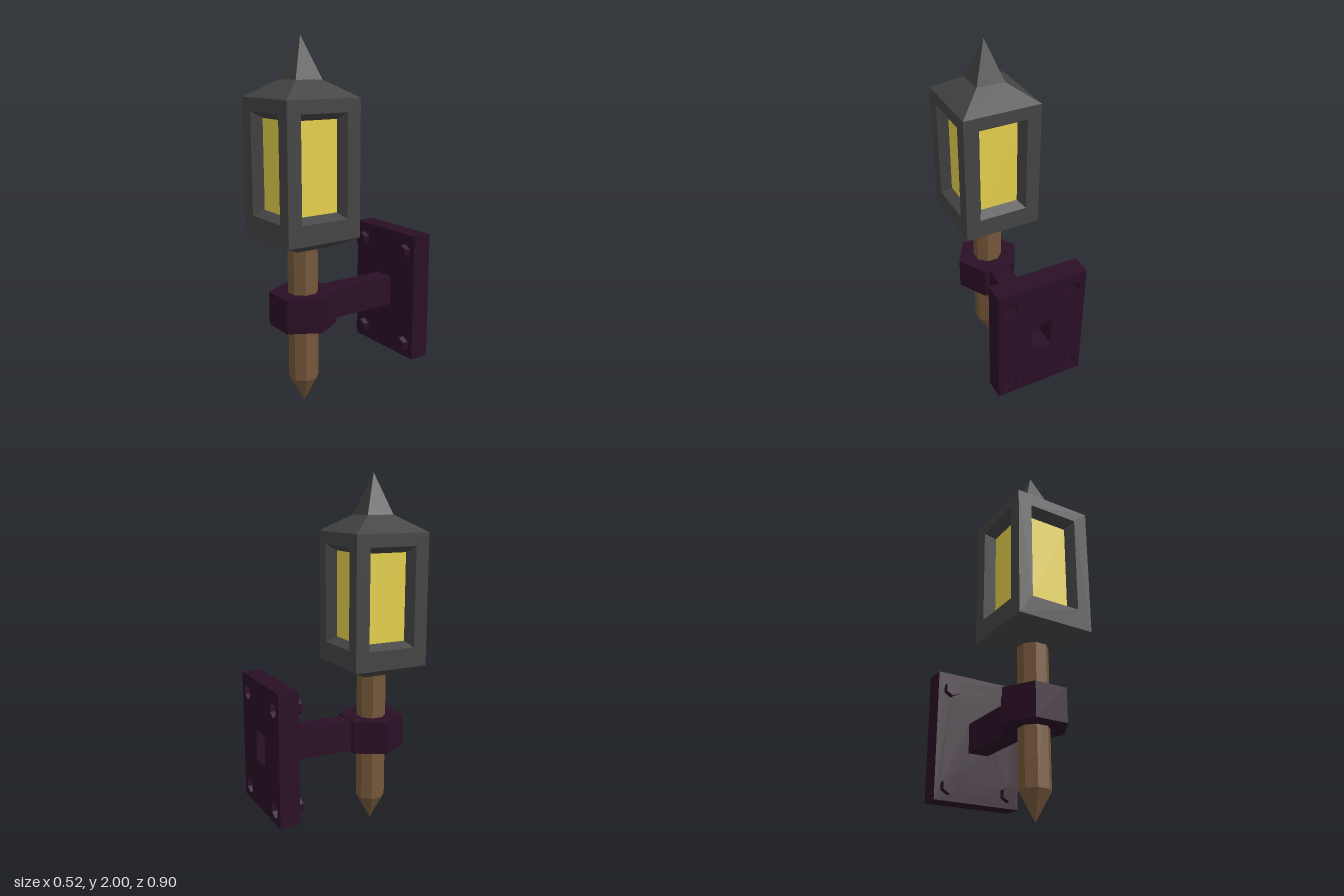
import * as THREE from 'three';

const material = (color) => new THREE.MeshStandardMaterial({ color, flatShading: true });
const iron = material(0x444444);
const glass = material(0xe5d04c);
const wood = material(0x75573a);
const bracket = material(0x2a0f25);

const POST_Z = 0.23;

function add(parent, name, geometry, mat, x = 0, y = 0, z = 0) {
  const mesh = new THREE.Mesh(geometry, mat);
  mesh.name = name;
  mesh.position.set(x, y, z);
  parent.add(mesh);
  return mesh;
}

// Square frustum between two heights, given half widths
function frustum(halfBottom, halfTop, y0, y1) {
  return new THREE.CylinderGeometry(halfTop * Math.SQRT2, halfBottom * Math.SQRT2, y1 - y0, 4)
    .rotateY(Math.PI / 4)
    .translate(0, (y0 + y1) / 2, 0);
}

// Upright rectangle as a counter-clockwise loop
const rect = (half, y0, y1, z) => [[-half, y0, z], [half, y0, z], [half, y1, z], [-half, y1, z]];

// Quads joining each loop to the next one inside it
function nestedLoops(loops) {
  const points = [];
  for (let i = 0; i + 1 < loops.length; i++) {
    const [outer, inner] = [loops[i], loops[i + 1]];
    outer.forEach((a, k) => {
      const n = (k + 1) % outer.length;
      points.push(...a, ...outer[n], ...inner[n], ...a, ...inner[n], ...inner[k]);
    });
  }
  const geometry = new THREE.BufferGeometry();
  geometry.setAttribute('position', new THREE.Float32BufferAttribute(points, 3));
  geometry.computeVertexNormals();
  return geometry;
}

// Hexagon with corners pointing up and down
function hexagon(radius, x, y, Type) {
  const points = [];
  for (let i = 0; i < 6; i++) {
    const a = Math.PI / 2 + (i * Math.PI) / 3;
    points.push(new THREE.Vector2(x + radius * Math.cos(a), y + radius * Math.sin(a)));
  }
  return new Type(points);
}

function createLantern() {
  const lantern = new THREE.Group();
  lantern.name = 'lantern';
  add(lantern, 'lanternBase', frustum(0.1, 0.22, 0.9, 0.96), iron);
  add(lantern, 'roof', frustum(0.22, 0.08, 1.69, 1.78), iron);
  add(lantern, 'spire', frustum(0.08, 0, 1.78, 2), iron);

  // Four walls, each with a sloped window recess
  const wall = nestedLoops([
    rect(0.22, 0.96, 1.69, 0.22),
    rect(0.14, 1.07, 1.62, 0.22),
    rect(0.11, 1.1, 1.585, 0.165),
  ]);
  const pane = new THREE.PlaneGeometry(0.22, 0.485).translate(0, 1.3425, 0.165);
  for (let i = 0; i < 4; i++) {
    const side = new THREE.Group();
    side.name = 'lanternSide';
    add(side, 'windowFrame', wall, iron);
    add(side, 'windowPane', pane, glass);
    side.rotation.y = (i * Math.PI) / 2;
    lantern.add(side);
  }
  return lantern;
}

function createPost() {
  const post = new THREE.Group();
  post.name = 'post';
  const radius = 0.077 / Math.cos(Math.PI / 8);
  const shaft = new THREE.CylinderGeometry(radius, radius, 0.75, 8).rotateY(Math.PI / 8);
  const tip = new THREE.CylinderGeometry(radius, 0, 0.15, 8).rotateY(Math.PI / 8);
  add(post, 'shaft', shaft, wood, 0, 0.525, 0);
  add(post, 'pointedTip', tip, wood, 0, 0.075, 0);
  return post;
}

function createBracket() {
  const group = new THREE.Group();
  group.name = 'wallBracket';

  // Hexagonal collar with corners at left and right
  const collar = new THREE.CylinderGeometry(0.185, 0.185, 0.185, 6).rotateY(Math.PI / 2);
  add(group, 'collar', collar, bracket, 0, 0.5525, POST_Z);
  add(group, 'arm', new THREE.BoxGeometry(0.12, 0.17, 0.42), bracket, 0, 0.555, -0.13);

  // Wall plate with a socket behind the arm and four bolt holes
  const plate = new THREE.Shape([
    new THREE.Vector2(-0.26, 0.19), new THREE.Vector2(0.26, 0.19),
    new THREE.Vector2(0.26, 0.92), new THREE.Vector2(-0.26, 0.92),
  ]);
  plate.holes.push(new THREE.Path([
    new THREE.Vector2(-0.06, 0.47), new THREE.Vector2(-0.06, 0.64),
    new THREE.Vector2(0.06, 0.64), new THREE.Vector2(0.06, 0.47),
  ]));
  for (const x of [-0.185, 0.185]) {
    for (const y of [0.265, 0.82]) {
      plate.holes.push(hexagon(0.044, x, y, THREE.Path));
      const bolt = new THREE.ExtrudeGeometry(hexagon(0.044, x, y, THREE.Shape), {
        depth: 0.11, bevelEnabled: false,
      });
      add(group, 'bolt', bolt, bracket, 0, 0, -0.415);
    }
  }
  const plateGeometry = new THREE.ExtrudeGeometry(plate, { depth: 0.113, bevelEnabled: false });
  add(group, 'wallPlate', plateGeometry, bracket, 0, 0, -0.453);
  return group;
}

export function createModel() {
  const model = new THREE.Group();
  model.name = 'wallLantern';
  for (const part of [createLantern(), createPost()]) {
    part.position.z = POST_Z;
    model.add(part);
  }
  model.add(createBracket());
  return model;
}
